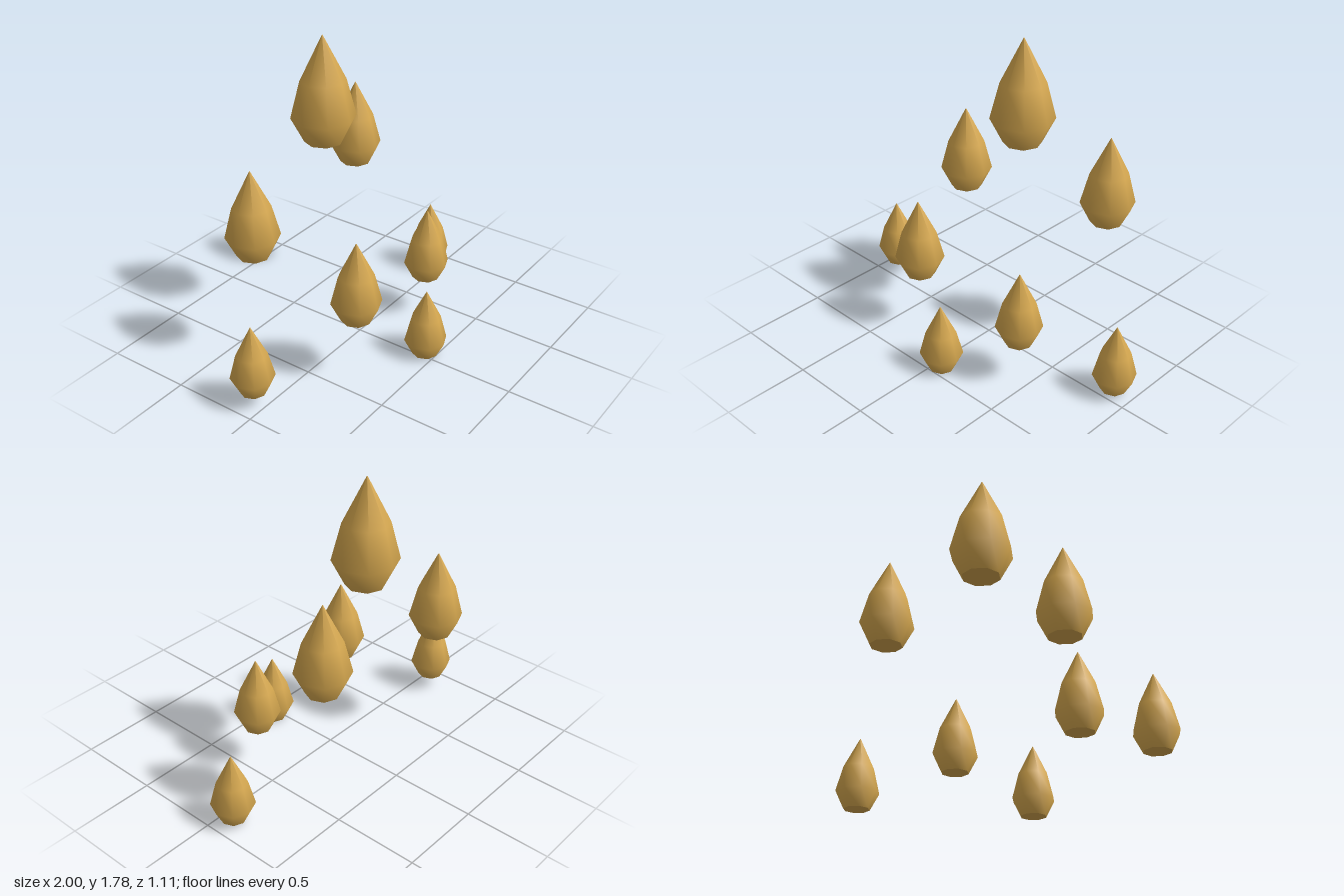
import * as THREE from 'three';
import { mergeGeometries } from 'three/addons/utils/BufferGeometryUtils.js';

// Eight-sided droplet of unit height standing on y = 0
function dropletGeometry() {
  const profile = [[0.18, 0], [0.3, 0.236], [0.21, 0.585], [0.004, 1]];
  const body = new THREE.LatheGeometry(profile.map(([r, y]) => new THREE.Vector2(r, y)), 8);
  // flat caps close the base and the blunt tip
  const base = new THREE.CircleGeometry(0.18, 8).rotateX(Math.PI / 2);
  const tip = new THREE.CircleGeometry(0.004, 8).rotateX(-Math.PI / 2).translate(0, 1, 0);
  return mergeGeometries([body, base, tip]);
}

export function createModel() {
  const group = new THREE.Group();
  group.name = 'floatingDroplets';
  const gold = new THREE.MeshStandardMaterial({ color: 0xd6a84f });
  gold.name = 'gold';
  const geometry = dropletGeometry();

  // name, x, base height, z, size
  const droplets = [
    ['topDroplet', 0.012, 1.17, -0.255, 0.615],
    ['upperLeftDroplet', 0.515, 0.802, -0.402, 0.513],
    ['upperRightDroplet', -0.52, 0.656, -0.343, 0.513],
    ['middleRightDroplet', -0.344, 0.36, 0.221, 0.476],
    ['middleLeftDroplet', 0.411, 0.239, 0.19, 0.443],
    ['frontDroplet', 0.041, 0, 0.429, 0.41],
    ['outerRightDroplet', -0.877, 0.076, -0.076, 0.41],
    ['outerLeftDroplet', 0.877, 0.022, -0.076, 0.41],
  ];
  for (const [name, x, y, z, size] of droplets) {
    const droplet = new THREE.Mesh(geometry, gold);
    droplet.name = name;
    droplet.position.set(x, y, z);
    droplet.scale.setScalar(size);
    group.add(droplet);
  }
  return group;
}
